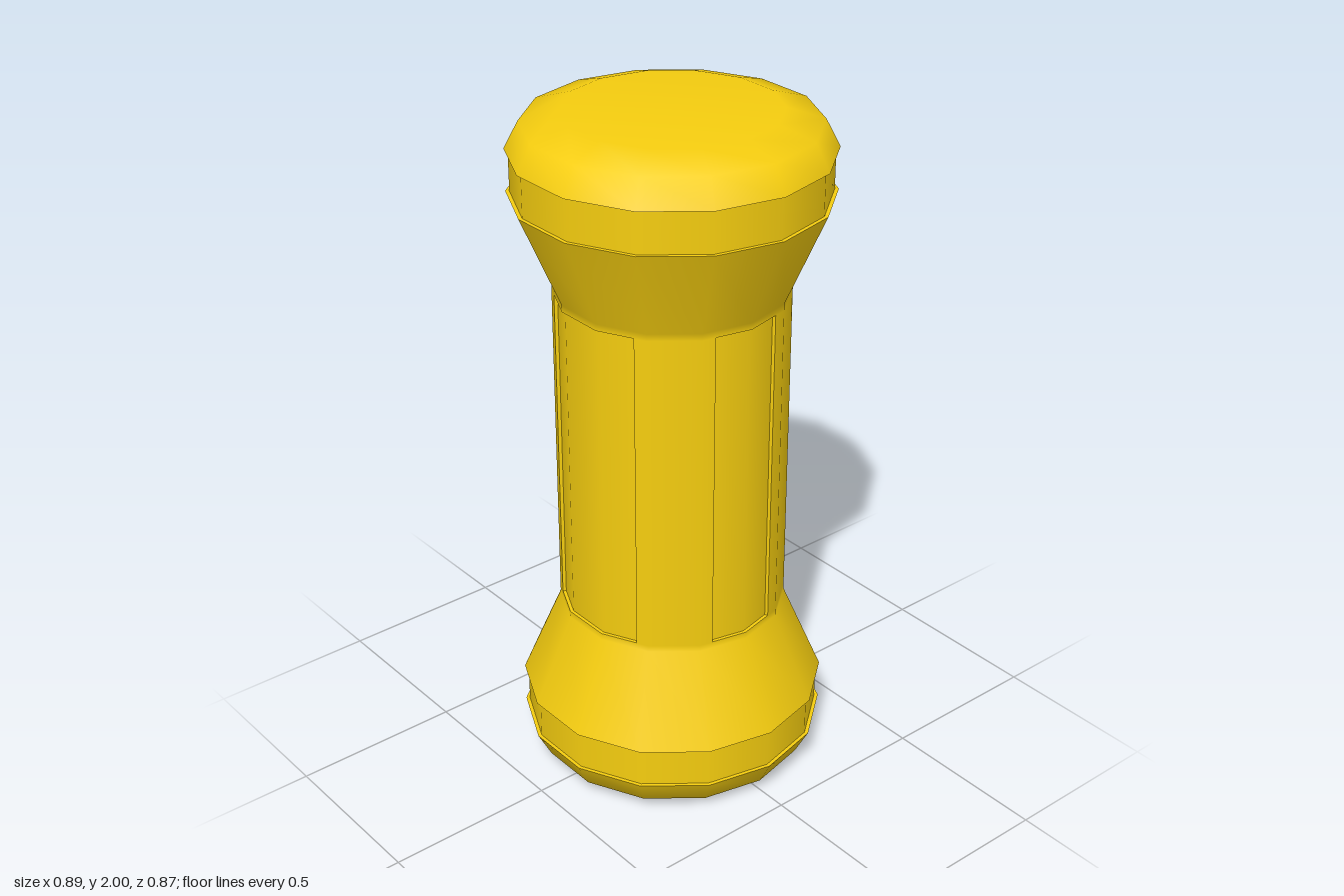
import * as THREE from 'three';

const SIDES = 14, STEP = (Math.PI * 2) / SIDES;
const R_BODY = 0.33, R_RECESS = 0.32, R_RIM = 0.445, R_GROOVE = 0.434;
const Y0 = 0.52, Y1 = 1.48, HEIGHT = 2;

const material = new THREE.MeshStandardMaterial({ color: 0xf5cd0f });

// Point on a 14-sided prism with a corner on +x
function rim(r, a, y) {
  const local = a - Math.floor(a / STEP) * STEP - STEP / 2;
  const d = (r * Math.cos(STEP / 2)) / Math.cos(local);
  return new THREE.Vector3(d * Math.cos(a), y, -d * Math.sin(a));
}

// Angles from a to b, including every prism corner between them
function span(a, b) {
  const list = [a];
  for (let k = Math.ceil(a / STEP + 1e-4); k * STEP < b - 1e-4; k++) list.push(k * STEP);
  return [...list, b];
}

// Mesh from quads; smooth quads get radial normals, others are flat
function quadMesh(name, quads) {
  const pos = [], nor = [];
  for (const { p, smooth } of quads) {
    const flat = p[1].clone().sub(p[0]).cross(p[2].clone().sub(p[0])).normalize();
    for (const i of [0, 1, 2, 0, 2, 3]) {
      const n = smooth ? new THREE.Vector3(p[i].x, 0, p[i].z).normalize() : flat;
      pos.push(...p[i].toArray());
      nor.push(...n.toArray());
    }
  }
  const geo = new THREE.BufferGeometry();
  geo.setAttribute('position', new THREE.Float32BufferAttribute(pos, 3));
  geo.setAttribute('normal', new THREE.Float32BufferAttribute(nor, 3));
  const mesh = new THREE.Mesh(geo, material);
  mesh.name = name;
  return mesh;
}

// Vertical curved strip between two angles
function strip(r, a, b) {
  const s = span(a, b), quads = [];
  for (let i = 0; i < s.length - 1; i++) {
    quads.push({
      smooth: true,
      p: [rim(r, s[i], Y0), rim(r, s[i + 1], Y0), rim(r, s[i + 1], Y1), rim(r, s[i], Y1)],
    });
  }
  return quads;
}

// Ledges and side walls around a recessed panel
function recessEdges(a, b) {
  const s = span(a, b), quads = [];
  const I = (t, y) => rim(R_RECESS, t, y), O = (t, y) => rim(R_BODY, t, y);
  for (let i = 0; i < s.length - 1; i++) {
    const t = s[i], u = s[i + 1];
    quads.push({ p: [I(t, Y0), O(t, Y0), O(u, Y0), I(u, Y0)] });
    quads.push({ p: [I(u, Y1), O(u, Y1), O(t, Y1), I(t, Y1)] });
  }
  quads.push({ p: [I(a, Y1), O(a, Y1), O(a, Y0), I(a, Y0)] });
  quads.push({ p: [I(b, Y0), O(b, Y0), O(b, Y1), I(b, Y1)] });
  return quads;
}

// Turned piece; the top copy mirrors the profile
function turned(name, profile, top) {
  let pts = profile.map(([r, y]) => new THREE.Vector2(r, top ? HEIGHT - y : y));
  if (top) pts = pts.reverse();
  const mesh = new THREE.Mesh(new THREE.LatheGeometry(pts, SIDES, Math.PI / 2), material);
  mesh.name = name;
  return mesh;
}

export function createModel() {
  const group = new THREE.Group();
  group.name = 'handle';

  // End caps, grooves and flared collars
  for (const top of [false, true]) {
    const end = new THREE.Group();
    end.name = top ? 'topEnd' : 'bottomEnd';
    end.add(
      turned('cap', [[0, 0], [0.3, 0], [0.405, 0.033], [R_RIM, 0.11]], top),
      turned('capLedge', [[R_RIM, 0.11], [R_GROOVE, 0.11]], top),
      turned('grooveBand', [[R_GROOVE, 0.11], [R_GROOVE, 0.23]], top),
      turned('collarLedge', [[R_GROOVE, 0.23], [R_RIM, 0.23]], top),
      turned('flaredCollar', [[R_RIM, 0.23], [R_BODY, 0.5], [R_BODY, Y0]], top),
    );
    group.add(end);
  }

  // Grip: four recessed panels, wide at front and back, narrow at the sides
  const half = [0.33, 0.565, 0.33, 0.565];
  const names = ['leftPanel', 'backPanel', 'rightPanel', 'frontPanel'];
  const grip = [];
  for (let i = 0; i < 4; i++) {
    const c = (i * Math.PI) / 2, a = c - half[i], b = c + half[i];
    group.add(quadMesh(names[i], strip(R_RECESS, a, b)));
    grip.push(...recessEdges(a, b));
    grip.push(...strip(R_BODY, b, c + Math.PI / 2 - half[(i + 1) % 4]));
  }
  group.add(quadMesh('grip', grip));
  return group;
}
